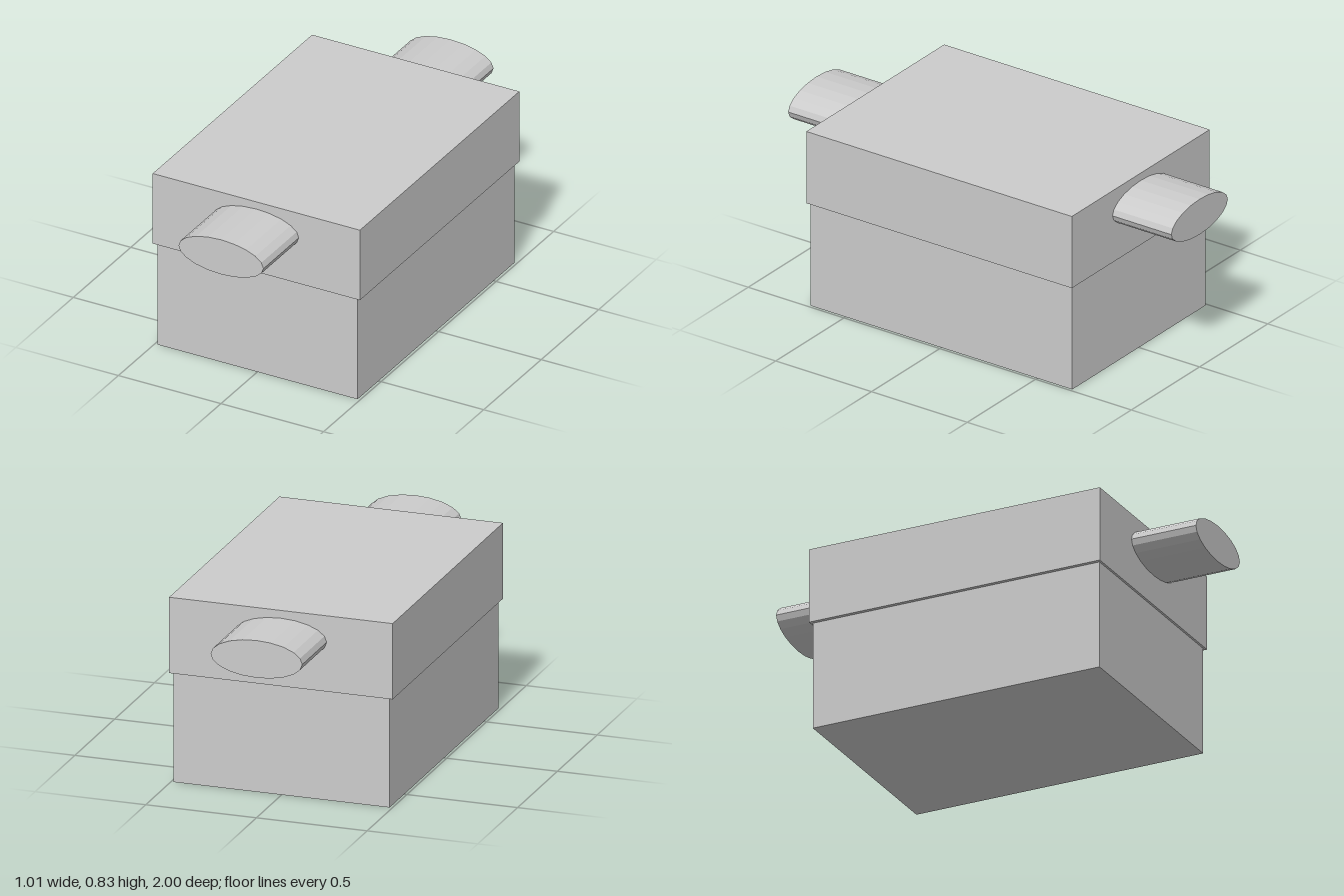
import * as THREE from 'three';

export function createModel() {
  const model = new THREE.Group();
  const material = new THREE.MeshStandardMaterial({ color: 0xcccccc, flatShading: true });

  const addPart = (name, geometry, y) => {
    const mesh = new THREE.Mesh(geometry, material);
    mesh.name = name;
    mesh.position.y = y;
    model.add(mesh);
  };

  // Lower box and the slightly wider cover resting on it
  const split = 0.492, top = 0.833;
  addPart('lowerBody', new THREE.BoxGeometry(0.976, split, 1.366), split / 2);
  addPart('upperCover', new THREE.BoxGeometry(1.01, top - split, 1.386), (split + top) / 2);

  // Flattened 20-sided pipe running front to back through the cover
  const pipe = new THREE.CylinderGeometry(1, 1, 2, 20);
  pipe.rotateX(Math.PI / 2).scale(0.207, 0.084, 1);
  addPart('ovalPipe', pipe, 0.714);

  return model;
}
